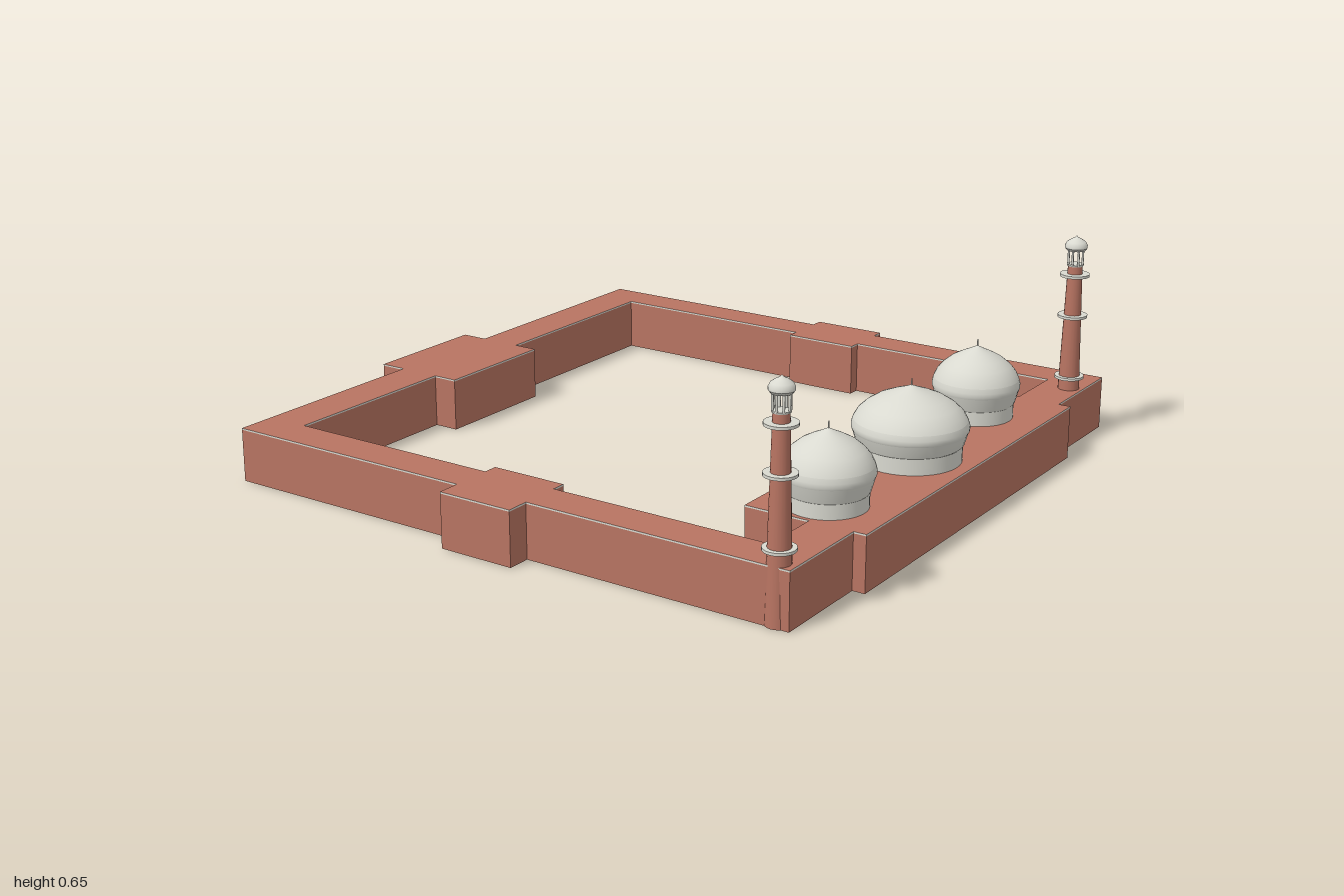
import * as THREE from 'three';

const sandstone = new THREE.MeshStandardMaterial({ color: 0xb87462 });
sandstone.name = 'red sandstone';
const marble = new THREE.MeshStandardMaterial({ color: 0xd9d9d0 });
marble.name = 'pale marble';

const WALL_TOP = 0.164;
const TRIM = 0.005;

function add(parent, name, geometry, material, x = 0, y = 0, z = 0) {
  const mesh = new THREE.Mesh(geometry, material);
  mesh.name = name;
  mesh.position.set(x, y, z);
  parent.add(mesh);
  return mesh;
}

// Lathe made of separate bands, so that listed profiles keep sharp edges between them
function turned(parent, name, bands, material, segments) {
  bands.forEach((band, i) => {
    const points = band.map(([r, y]) => new THREE.Vector2(r, y));
    add(parent, name + (i + 1), new THREE.LatheGeometry(points, segments), material);
  });
}

// Courtyard plan given as x, z corners
function courtyardPlan() {
  const outer = [
    [-0.915, 0.925], [-0.095, 0.925], [-0.095, 0.995], [0.143, 0.995], [0.143, 0.925], [0.962, 0.925],
    [0.962, 0.615], [1, 0.615], [1, -0.63], [0.962, -0.63], [0.962, -0.955],
    [0.143, -0.955], [0.143, -0.995], [-0.095, -0.995], [-0.095, -0.955], [-0.915, -0.955],
    [-0.915, -0.185], [-1, -0.185], [-1, 0.22], [-0.915, 0.22],
  ];
  const inner = [
    [-0.782, 0.805], [-0.095, 0.805], [-0.095, 0.762], [0.143, 0.762], [0.143, 0.805], [0.83, 0.805],
    [0.83, 0.615], [0.632, 0.615], [0.632, -0.63], [0.83, -0.63], [0.83, -0.84],
    [0.143, -0.84], [0.143, -0.802], [-0.095, -0.802], [-0.095, -0.84], [-0.782, -0.84],
    [-0.782, -0.185], [-0.703, -0.185], [-0.703, 0.22], [-0.782, 0.22],
  ];
  const toPoints = (list) => list.map(([x, z]) => new THREE.Vector2(x, -z));
  const shape = new THREE.Shape(toPoints(outer));
  shape.holes.push(new THREE.Path(toPoints(inner)));
  return shape;
}

function extrudeUp(shape, height) {
  return new THREE.ExtrudeGeometry(shape, { depth: height, bevelEnabled: false }).rotateX(-Math.PI / 2);
}

// Drum, flared neck, bulging dome and finial
function makeDome(name, x, z, r, drumR, neckY) {
  const dome = new THREE.Group();
  dome.name = name;
  dome.position.set(x, 0, z);
  turned(dome, 'domeBand', [
    [[drumR, WALL_TOP - 0.01], [drumR, neckY]],
    [[drumR, neckY], [drumR * 1.03, neckY + 0.004], [r * 0.98, 0.25]],
    [[r * 0.98, 0.25], [r, 0.257], [r, 0.268], [r * 0.97, 0.282]],
    [[r * 0.97, 0.282], [r * 0.9, 0.302], [r * 0.77, 0.322], [r * 0.58, 0.342],
      [r * 0.35, 0.358], [r * 0.15, 0.37], [0, 0.38]],
  ], marble, 40);
  add(dome, 'finial', new THREE.CylinderGeometry(0.0015, 0.003, 0.03, 8), marble, 0, 0.383, 0);
  return dome;
}

// Tapered tower with three balconies and an open lantern
function makeMinaret(name, x, z) {
  const minaret = new THREE.Group();
  minaret.name = name;
  minaret.position.set(x, 0, z);
  add(minaret, 'shaft', new THREE.CylinderGeometry(0.022, 0.037, 0.556, 20), sandstone, 0, 0.278, 0);
  for (const y of [0.203, 0.398, 0.527]) {
    add(minaret, 'balcony', new THREE.CylinderGeometry(0.045, 0.045, 0.008, 24), marble, 0, y, 0);
  }
  add(minaret, 'lanternFloor', new THREE.CylinderGeometry(0.026, 0.024, 0.006, 20), marble, 0, 0.558, 0);
  for (let i = 0; i < 8; i++) {
    const a = (i / 8) * Math.PI * 2;
    add(minaret, 'lanternColumn', new THREE.CylinderGeometry(0.0035, 0.0035, 0.054, 8), marble,
      Math.cos(a) * 0.023, 0.585, Math.sin(a) * 0.023);
  }
  turned(minaret, 'lanternCap', [
    [[0, 0.604], [0.028, 0.604], [0.034, 0.612]],
    [[0.034, 0.612], [0.034, 0.62], [0.029, 0.63], [0.016, 0.639], [0.005, 0.644], [0, 0.65]],
  ], marble, 24);
  return minaret;
}

export function createModel() {
  const model = new THREE.Group();
  model.name = 'courtyardComplex';

  // Walls, gates and prayer hall share one plan; a pale trim edges the roof line
  const plan = courtyardPlan();
  add(model, 'courtyardWalls', extrudeUp(plan, WALL_TOP - TRIM), sandstone);
  add(model, 'roofTrim', extrudeUp(plan, TRIM), [sandstone, marble], 0, WALL_TOP - TRIM, 0);

  model.add(makeDome('centreDome', 0.815, 0.045, 0.166, 0.148, 0.212));
  model.add(makeDome('frontDome', 0.81, 0.49, 0.13, 0.113, 0.207));
  model.add(makeDome('backDome', 0.795, -0.4, 0.13, 0.113, 0.207));

  model.add(makeMinaret('frontMinaret', 0.914, 0.897));
  model.add(makeMinaret('backMinaret', 0.918, -0.797));
  return model;
}
